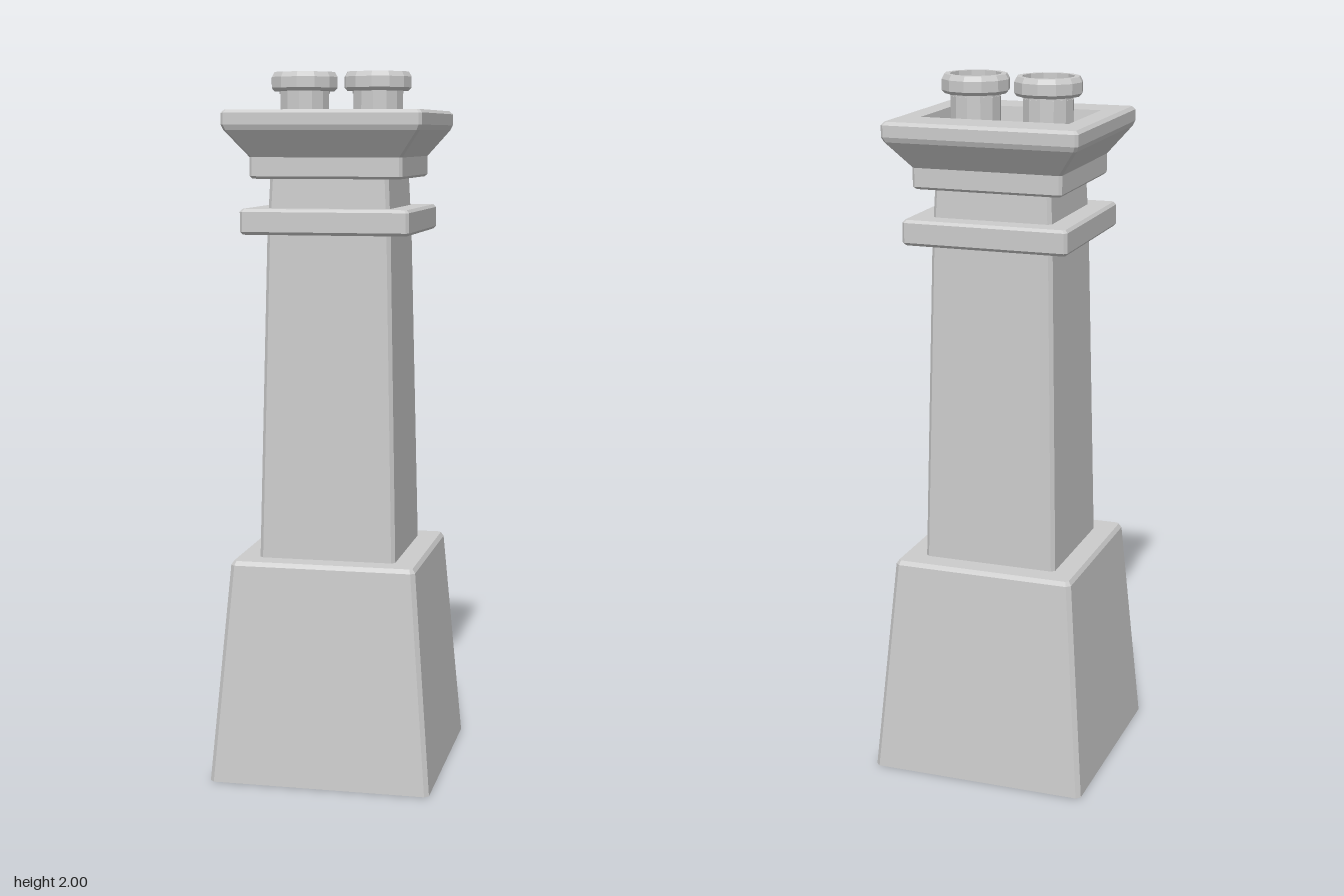
import * as THREE from 'three';

const stone = new THREE.MeshStandardMaterial({ color: 0xcccccc, flatShading: true });

// Stacks rectangular rings [halfX, y, chamfer, halfZ = halfX] and caps both ends
function loft(name, rings) {
  const pos = [];
  const loops = rings.map(([a, y, c, b = a]) => [
    [a, y, b - c], [a, y, c - b], [a - c, y, -b], [c - a, y, -b],
    [-a, y, c - b], [-a, y, b - c], [c - a, y, b], [a - c, y, b],
  ]);
  const tri = (p, q, r) => pos.push(...p, ...q, ...r);
  for (let k = 0; k + 1 < loops.length; k++) {
    const lo = loops[k], hi = loops[k + 1];
    for (let i = 0; i < 8; i++) {
      const j = (i + 1) % 8;
      tri(lo[i], lo[j], hi[j]);
      tri(lo[i], hi[j], hi[i]);
    }
  }
  const bottom = loops[0], top = loops[loops.length - 1];
  for (let i = 1; i < 7; i++) {
    tri(bottom[0], bottom[i + 1], bottom[i]);
    tri(top[0], top[i], top[i + 1]);
  }
  const geo = new THREE.BufferGeometry();
  geo.setAttribute('position', new THREE.Float32BufferAttribute(pos, 3));
  geo.computeVertexNormals();
  const mesh = new THREE.Mesh(geo, stone);
  mesh.name = name;
  return mesh;
}

// Twelve-sided pot with a bevelled collar and a hollow mouth
function pot(name, x) {
  const profile = [
    [0.071, 1.77], [0.071, 1.947], [0.088, 1.947], [0.096, 1.956], [0.096, 1.986],
    [0.088, 2], [0.073, 2], [0.073, 1.94], [0, 1.94],
  ].map(([r, y]) => new THREE.Vector2(r, y));
  const mesh = new THREE.Mesh(new THREE.LatheGeometry(profile, 12), stone);
  mesh.name = name;
  mesh.position.x = x;
  return mesh;
}

export function createModel() {
  const model = new THREE.Group();
  model.name = 'chimney';
  model.add(
    // Tapered plinth
    loft('base', [[0.316, 0, 0.012], [0.264, 0.622, 0.012], [0.256, 0.634, 0.008]]),
    // Tapered stack
    loft('shaft', [[0.196, 0.62, 0.01], [0.175, 1.55, 0.01], [0.167, 1.72, 0.01]]),
    // Projecting band
    loft('band', [
      [0.23, 1.552, 0.006], [0.237, 1.56, 0.008], [0.237, 1.615, 0.008], [0.23, 1.623, 0.006],
    ]),
    // Flared crown with a sunken rectangular top
    loft('crown', [
      [0.207, 1.705, 0.006], [0.214, 1.712, 0.008], [0.214, 1.764, 0.008],
      [0.272, 1.838, 0.008], [0.278, 1.852, 0.008], [0.278, 1.884, 0.008], [0.269, 1.893, 0.006],
      [0.212, 1.893, 0.001, 0.147], [0.196, 1.78, 0.001, 0.134],
    ]),
    pot('leftPot', 0.106),
    pot('rightPot', -0.106),
  );
  return model;
}
